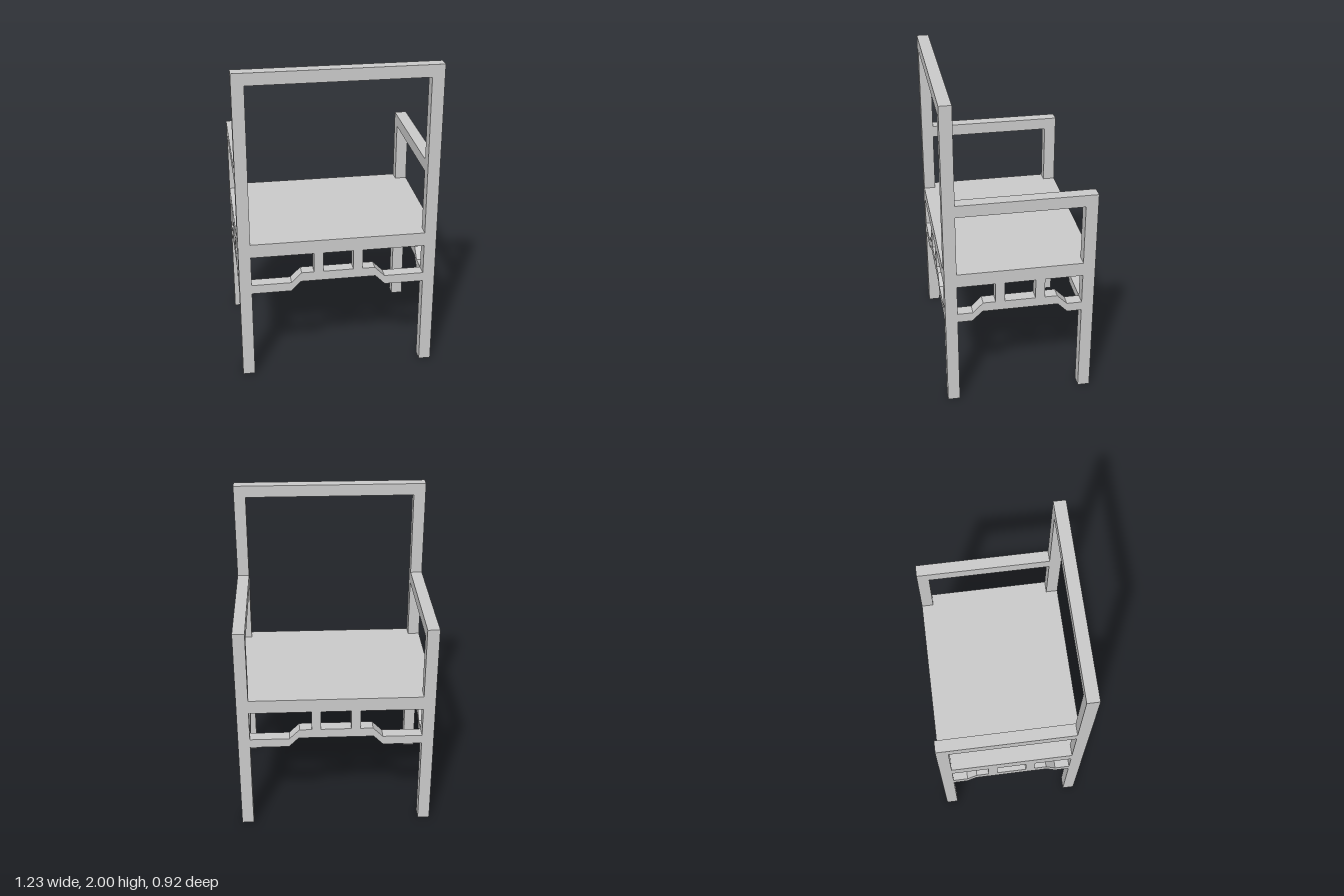
import * as THREE from 'three';

const W = 0.613, D = 0.46, T = 0.075;   // half width, half depth, post thickness
const IX = W - T, IZ = D - T;           // inner faces of the posts
const SEAT_LOW = 0.838, SEAT_TOP = 0.926, ARM_TOP = 1.386, BACK_TOP = 2;

const material = new THREE.MeshStandardMaterial({ color: 0xcccccc, flatShading: true });

// Box given by its min and max corners
function box(name, x0, x1, y0, y1, z0, z1) {
  const mesh = new THREE.Mesh(new THREE.BoxGeometry(x1 - x0, y1 - y0, z1 - z0), material);
  mesh.position.set((x0 + x1) / 2, (y0 + y1) / 2, (z0 + z1) / 2);
  mesh.name = name;
  return mesh;
}

function extrude(name, points, depth) {
  const shape = new THREE.Shape(points.map(([x, y]) => new THREE.Vector2(x, y)));
  const geometry = new THREE.ExtrudeGeometry(shape, { depth, bevelEnabled: false });
  const mesh = new THREE.Mesh(geometry, material);
  mesh.name = name;
  return mesh;
}

// Humped stretcher with two short struts up to the seat, spanning -half..half in x
function humpedStretcher(name, half) {
  const group = new THREE.Group();
  group.name = name;
  const lower = [[-half, 0.588], [-0.295, 0.588], [-0.234, 0.65], [0.234, 0.65], [0.295, 0.588], [half, 0.588]];
  const upper = [[half, 0.646], [0.292, 0.646], [0.229, 0.71], [-0.229, 0.71], [-0.292, 0.646], [-half, 0.646]];
  const rail = extrude('stretcherRail', [...lower, ...upper], T);
  rail.position.z = -T / 2;
  group.add(rail);
  for (const s of [-1, 1]) {
    const strut = box('stretcherStrut', -0.029, 0.029, 0.71, SEAT_LOW, -T / 2, T / 2);
    strut.position.x = s * 0.123;
    group.add(strut);
  }
  return group;
}

export function createModel() {
  const chair = new THREE.Group();
  chair.name = 'armchair';

  // Seat slab, notched at the corners around the posts
  const seat = extrude('seat', [
    [-IX, -D], [IX, -D], [IX, -IZ], [W, -IZ], [W, IZ], [IX, IZ],
    [IX, D], [-IX, D], [-IX, IZ], [-W, IZ], [-W, -IZ], [-IX, -IZ],
  ], SEAT_TOP - SEAT_LOW);
  seat.rotation.x = -Math.PI / 2;
  seat.position.y = SEAT_LOW;
  chair.add(seat);

  // Posts, arms and side stretchers, mirrored left and right
  for (const s of [-1, 1]) {
    const side = s > 0 ? 'left' : 'right';
    const x0 = s > 0 ? IX : -W, x1 = x0 + T;
    chair.add(box(side + 'TallPost', x0, x1, 0, BACK_TOP, IZ, D));
    chair.add(box(side + 'ArmPost', x0, x1, 0, ARM_TOP, -D, -IZ));
    chair.add(box(side + 'Arm', x0, x1, ARM_TOP - T, ARM_TOP, -IZ, IZ));

    const stretcher = humpedStretcher(side + 'Stretcher', IZ);
    stretcher.rotation.y = Math.PI / 2;
    stretcher.position.x = s * (W - T / 2);
    chair.add(stretcher);
  }

  // Top rail between the tall posts
  chair.add(box('topRail', -IX, IX, BACK_TOP - T, BACK_TOP, IZ, D));

  // Stretchers under the two long seat edges
  for (const s of [-1, 1]) {
    const stretcher = humpedStretcher(s > 0 ? 'tallSideStretcher' : 'openSideStretcher', IX);
    stretcher.position.z = s * (D - T / 2);
    chair.add(stretcher);
  }

  return chair;
}
